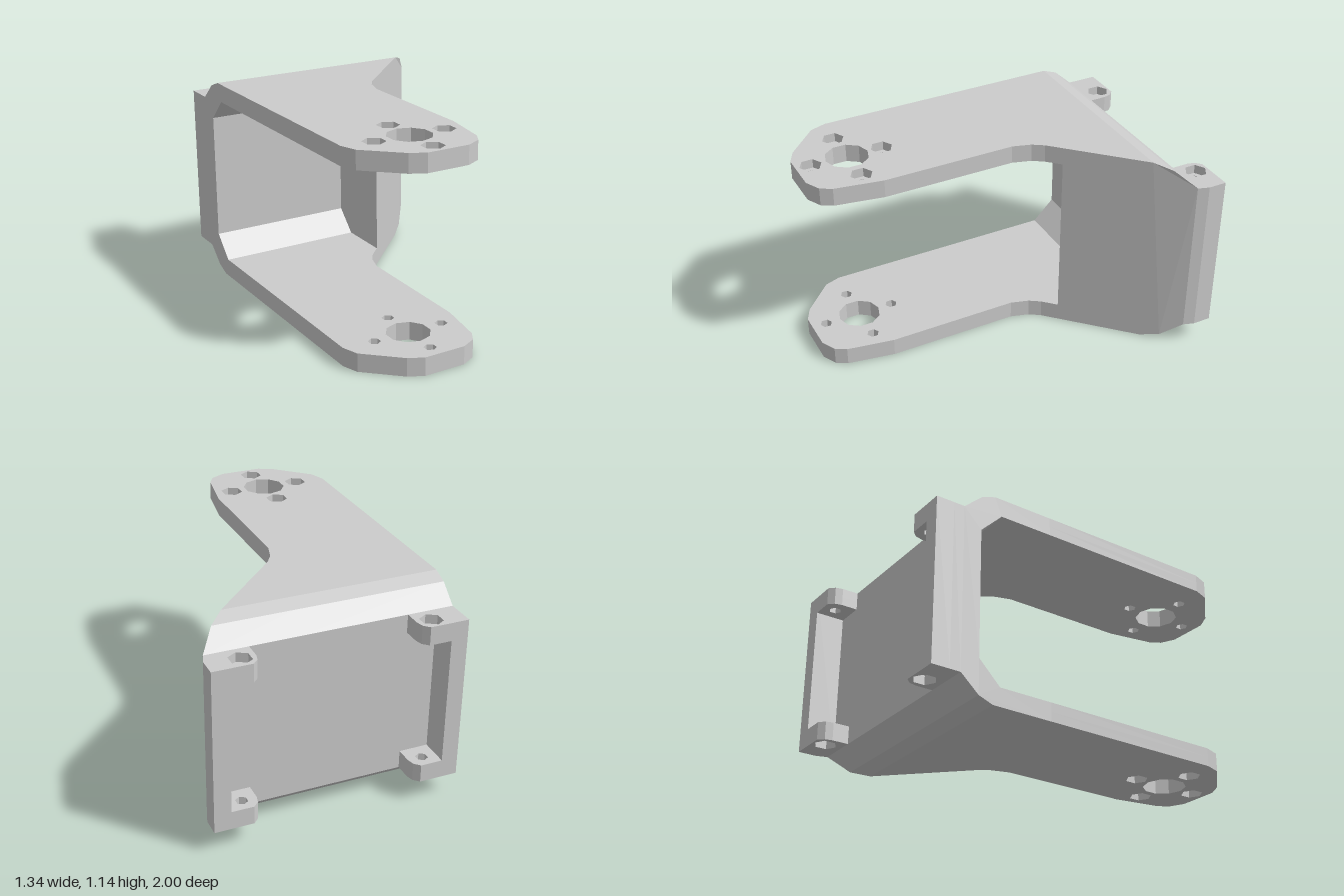
import * as THREE from 'three';

const H = 1.14;       // overall height
const T = 0.1;        // plate thickness
const material = new THREE.MeshStandardMaterial({ color: 0xcccccc, flatShading: true });

function polygon(points) {
  return new THREE.Shape(points.map(([x, y]) => new THREE.Vector2(x, y)));
}

function hole(x, z, r, sides) {
  const pts = [];
  for (let i = 0; i < sides; i++) {
    const a = (i + 0.5) / sides * Math.PI * 2;
    pts.push(new THREE.Vector2(x + r * Math.cos(a), -z + r * Math.sin(a)));
  }
  return new THREE.Path(pts);
}

// Plan outline of [x, z] points, extruded upward from y0 to y1
function planSlab(outline, holes, y0, y1) {
  const shape = polygon(outline.map(([x, z]) => [x, -z]));
  shape.holes = holes.map((h) => hole(...h));
  const geo = new THREE.ExtrudeGeometry(shape, { depth: y1 - y0, bevelEnabled: false });
  return geo.rotateX(-Math.PI / 2).translate(0, y0, 0);
}

// Side profile of [-z, y] points, extruded along x from x0 to x1
function sideSlab(profile, x0, x1) {
  const geo = new THREE.ExtrudeGeometry(polygon(profile), { depth: x1 - x0, bevelEnabled: false });
  return geo.rotateY(Math.PI / 2).translate(x0, 0, 0);
}

export function createModel() {
  const group = new THREE.Group();
  const add = (name, geo) => {
    geo.computeVertexNormals();
    const mesh = new THREE.Mesh(geo, material);
    mesh.name = name;
    group.add(mesh);
  };

  // Counterbored plate: wide screw holes in the outer half, narrow in the inner half
  const counterbored = (name, outline, screws, extra, outerY, innerY) => {
    const mid = (outerY + innerY) / 2;
    const half = (a, b, r, sides) => planSlab(outline,
      [...screws.map(([x, z]) => [x, z, r, sides]), ...extra], Math.min(a, b), Math.max(a, b));
    add(name + 'Outer', half(outerY, mid, 0.06, 6));
    add(name + 'Inner', half(mid, innerY, 0.033, 6));
  };

  // Two parallel arms with a horn hole and four screws
  const arm = [
    [-0.67, -0.32], [-0.67, 0.70], [-0.64, 0.79], [-0.46, 0.96], [-0.38, 1.0],
    [-0.15, 1.0], [-0.07, 0.96], [-0.035, 0.90], [0.01, 0.64], [0.01, -0.09],
    [0.04, -0.19], [0.08, -0.25], [0.15, -0.32],
  ];
  const armScrews = [[-0.3, 0.525], [-0.3, 0.92], [-0.5, 0.72], [-0.1, 0.72]];
  const hornHole = [[-0.3, 0.72, 0.117, 10]];
  counterbored('topArm', arm, armScrews, hornHole, H, H - T);
  counterbored('bottomArm', arm, armScrews, hornHole, 0, T);

  // Rear channel joining the arms, chamfered inside and out
  const back = [
    [0.32, 0], [0.66, 0], [0.74, 0.03], [0.84, 0.12],
    [0.84, H - 0.12], [0.74, H - 0.03], [0.66, H], [0.32, H],
  ];
  const inner = [
    [0.32, H - T], [0.62, H - T], [0.74, H - 0.22], [0.74, 0.22], [0.62, T], [0.32, T],
  ];
  add('rearChannel', sideSlab([...back, ...inner], -0.67, 0.15));

  // Solid gusset: the far end is sheared along the diagonal side
  const gusset = sideSlab(back, 0.15, 1);
  const pos = gusset.attributes.position;
  for (let i = 0; i < pos.count; i++) {
    if (pos.getX(i) > 0.5) pos.setX(i, Math.min(0.65, -pos.getZ(i) - 0.17));
  }
  add('sideGusset', gusset);

  // Rear flanges with a screw boss at each corner
  for (const s of [-1, 1]) {
    const side = s < 0 ? 'right' : 'left';
    const mirror = (pts) => pts.map(([x, z]) => [s * x, z]);
    const foot = s < 0 ? 0.67 : 0.65;
    add(side + 'Flange', planSlab(
      mirror([[0.58, -0.84], [0.58, -1], [0.67, -1], [0.67, -0.9], [foot, -0.84]]),
      [], 0.12, H - 0.12));
    const boss = mirror([
      [0.58, -0.84], [0.42, -0.84], [0.42, -0.93], [0.43, -0.97], [0.46, -1], [0.58, -1],
    ]);
    const screw = [[s * 0.5, -0.93]];
    counterbored(side + 'TopBoss', boss, screw, [], H - 0.12, H - 0.22);
    counterbored(side + 'BottomBoss', boss, screw, [], 0.12, 0.22);
  }
  return group;
}
